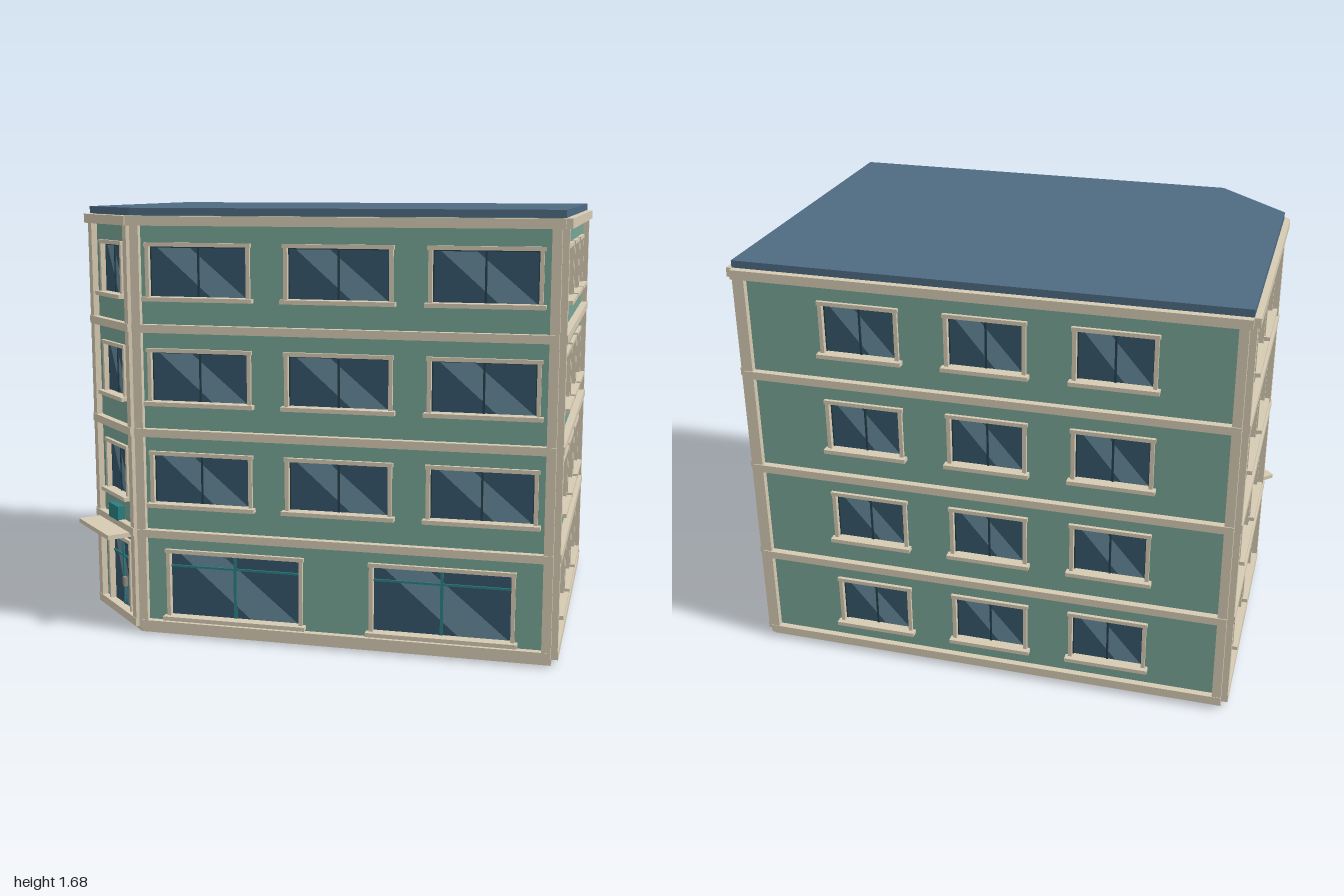
import * as THREE from 'three';

const mat = (color, extra = {}) => new THREE.MeshStandardMaterial({ color, ...extra });
const M = {
  wall: mat(0x78a595), trim: mat(0xd6cab2), roof: mat(0x4e6a82), glass: mat(0x36566a),
  shine: mat(0x668a9a), dark: mat(0x24404c), teal: mat(0x2a7f80), metal: mat(0x8f8b80),
};

// Wall planes of the plan and the line of the cut corner (z - x = CUT)
const X0 = -0.9415, X1 = 0.9605, Z0 = -0.7035, Z1 = 0.6765, CUT = 1.337;
const TOP = 1.65;

// Facade panel: u runs left to right seen from outside, z points outwards
function box(parent, name, m, u0, u1, y0, y1, z0, z1) {
  const mesh = new THREE.Mesh(new THREE.BoxGeometry(u1 - u0, y1 - y0, z1 - z0), m);
  mesh.position.set((u0 + u1) / 2, (y0 + y1) / 2, (z0 + z1) / 2);
  mesh.name = name;
  parent.add(mesh);
  return mesh;
}

// Horizontal slab following the plan, grown outwards by d
function slab(name, m, d, y0, y1) {
  const x0 = X0 - d, x1 = X1 + d, z0 = Z0 - d, z1 = Z1 + d, c = CUT + d * Math.SQRT2;
  const shape = new THREE.Shape([[x0, z0], [x1, z0], [x1, z1], [z1 - c, z1], [x0, x0 + c]]
    .map(([x, z]) => new THREE.Vector2(x, z)));
  const geo = new THREE.ExtrudeGeometry(shape, { depth: y1 - y0, bevelEnabled: false });
  geo.rotateX(Math.PI / 2);
  const mesh = new THREE.Mesh(geo, m);
  mesh.position.y = y1;
  mesh.name = name;
  return mesh;
}

// Flat polygon lying just in front of the glass
function flat(parent, name, m, pts, z) {
  const shape = new THREE.Shape(pts.map(([u, y]) => new THREE.Vector2(u, y)));
  const mesh = new THREE.Mesh(new THREE.ShapeGeometry(shape), m);
  mesh.position.z = z;
  mesh.name = name;
  parent.add(mesh);
}

// Framed, recessed opening with a diagonal reflection on the glass
function opening(parent, o) {
  const g = new THREE.Group();
  g.name = o.kind;
  parent.add(g);
  const { u, w, y0, y1 } = o, f = 0.015;
  const a = u - w / 2, b = u + w / 2, ia = a + f, ib = b - f, iw = ib - ia;
  const door = o.kind === 'door', bars = o.kind === 'window' ? M.dark : M.teal;
  const bottom = door ? y0 : y0 + 0.006, top = y1 - f;
  box(g, 'glass', M.glass, ia, ib, bottom, top, -0.024, -0.012);
  flat(g, 'reflection', M.shine, [[ia + iw * 0.62, bottom], [ia + iw * 0.98, bottom],
    [ia + iw * 0.4, top], [ia + iw * 0.06, top]], -0.011);
  for (const [l, r] of [[a, ia], [ib, b]]) box(g, 'frameSide', M.trim, l, r, y0, y1, -0.024, 0.012);
  box(g, 'frameTop', M.trim, a - 0.004, b + 0.004, top, y1, -0.024, 0.014);
  const t = o.kind === 'window' ? 0.004 : 0.006;
  box(g, 'mullion', bars, u - t, u + t, bottom, top, -0.018, -0.007);
  if (o.kind === 'window') {
    // thin dark sash around the glass
    for (const [l, r] of [[ia, ia + 0.005], [ib - 0.005, ib]])
      box(g, 'sashSide', M.dark, l, r, bottom, top, -0.018, -0.008);
    box(g, 'sashTop', M.dark, ia, ib, top - 0.005, top, -0.018, -0.008);
  } else {
    const y = door ? 0.265 : 0.28;
    box(g, 'transom', bars, ia, ib, y - 0.004, y + 0.004, -0.018, -0.006);
  }
  if (door) box(g, 'doorHandle', M.metal, u + 0.012, u + 0.032, 0.14, 0.178, -0.012, 0.004);
  else box(g, 'sill', M.trim, a - 0.011, b + 0.011, y0 - 0.011, y0 + 0.005, -0.024, 0.031);
}

// One wall with its openings, corner pilasters, floor bands and cornice
function facade(name, x, z, turn, u0, u1, openings) {
  const g = new THREE.Group();
  g.name = name;
  g.position.set(x, 0, z);
  g.rotation.y = turn;
  const rect = (P, a, b, c, d) => {
    const p = new P();
    p.moveTo(a, c); p.lineTo(b, c); p.lineTo(b, d); p.lineTo(a, d); p.closePath();
    return p;
  };
  const shape = rect(THREE.Shape, u0, u1, 0.025, TOP);
  for (const o of openings)
    shape.holes.push(rect(THREE.Path, o.u - o.w / 2 + 0.007, o.u + o.w / 2 - 0.007, o.y0, o.y1 - 0.007));
  const panel = new THREE.Mesh(new THREE.ExtrudeGeometry(shape, { depth: 0.03, bevelEnabled: false }), M.wall);
  panel.position.z = -0.03;
  panel.name = 'wall';
  g.add(panel);
  openings.forEach((o) => opening(g, o));
  for (const [a, b] of [[u0, u0 + 0.035], [u1 - 0.035, u1]])
    box(g, 'pilaster', M.trim, a, b, 0.026, 1.615, -0.01, 0.024);
  box(g, 'plinthBand', M.trim, u0, u1, 0.024, 0.057, -0.01, 0.026);
  for (const y of [0.397, 0.8, 1.206]) box(g, 'floorBand', M.trim, u0, u1, y, y + 0.031, -0.01, 0.028);
  box(g, 'cornice', M.trim, u0 - 0.0125, u1 + 0.0125, 1.612, TOP - 0.002, -0.01, 0.036);
  return g;
}

// Window rows: one window per centre on every listed floor
const rows = (centres, w, floors) => floors.flatMap((i) => centres.map((u) =>
  ({ kind: 'window', u, w, y0: 0.127 + 0.4035 * i, y1: 0.338 + 0.4035 * i })));

export function createModel() {
  const model = new THREE.Group();
  model.name = 'cornerBuilding';
  const all = [0, 1, 2, 3], upper = [1, 2, 3];

  model.add(slab('base', M.trim, 0, 0, 0.026));
  model.add(slab('roof', M.roof, 0.0125, TOP, 1.678));

  const shopWindows = [-0.27, 0.547].map((u) => ({ kind: 'shopWindow', u, w: 0.555, y0: 0.075, y1: 0.35 }));
  model.add(facade('frontFacade', 0, Z1, 0, Z1 - CUT, X1,
    [...rows([-0.398, 0.148, 0.692], 0.415, upper), ...shopWindows]));
  model.add(facade('sideFacadeThreeBays', X1, 0, Math.PI / 2, -Z1, -Z0, rows([-0.334, 0.013, 0.363], 0.288, all)));
  model.add(facade('backFacade', 0, Z0, Math.PI, -X1, -X0, rows([-0.487, 0, 0.48], 0.31, all)));
  model.add(facade('sideFacadeTwoBays', X0, 0, -Math.PI / 2, Z0, X0 + CUT, rows([-0.328, 0.02], 0.288, all)));

  // Cut corner with the entrance
  const ax = X0, az = X0 + CUT, bx = Z1 - CUT, bz = Z1;
  const half = Math.hypot(bx - ax, bz - az) / 2;
  const corner = facade('entranceCorner', (ax + bx) / 2, (az + bz) / 2, -Math.PI / 4, -half, half,
    [...rows([0], 0.225, upper), { kind: 'door', u: 0, w: 0.235, y0: 0.055, y1: 0.355 }]);
  box(corner, 'canopy', M.trim, -0.16, 0.16, 0.384, 0.402, 0, 0.118);
  box(corner, 'signBox', M.teal, -0.05, 0.05, 0.424, 0.483, 0, 0.03);
  model.add(corner);

  return model;
}
